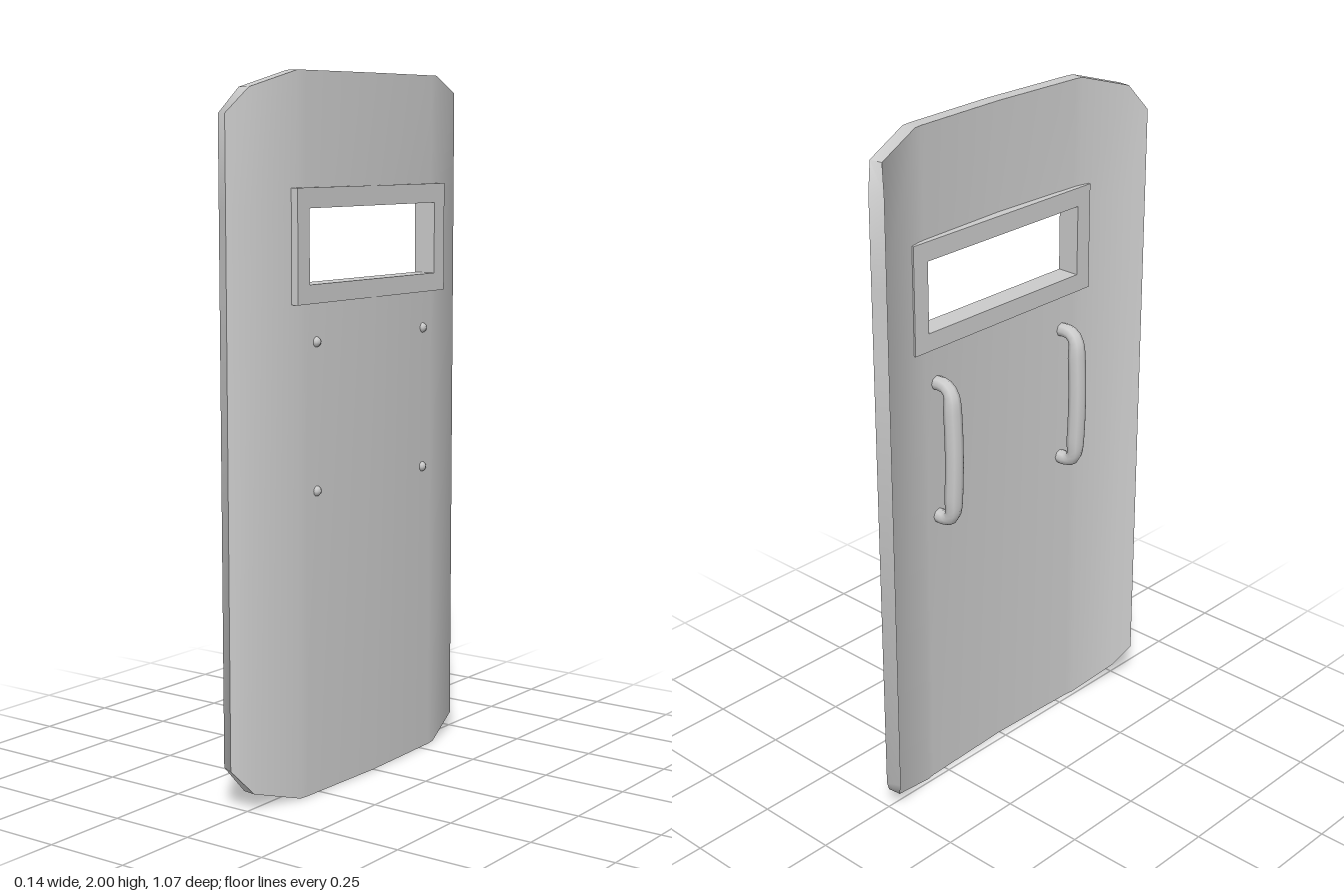
import * as THREE from 'three';
import { toCreasedNormals } from 'three/addons/utils/BufferGeometryUtils.js';

const material = new THREE.MeshStandardMaterial({ color: 0xcccccc });

// Half of the plate's section: outer x/z, inner x/z, bottom y (top mirrors it)
const half = [
  [0.066, 0, 0.026, 0, 0],
  [0.056, 0.30, 0.016, 0.30, 0],
  [0.052, 0.33, 0.012, 0.325, 0],
  [0.013, 0.485, -0.026, 0.48, 0.047],
  [-0.03, 0.533, -0.068, 0.515, 0.115],
];
const windowY = [1.43, 1.635];
const windowZ = 0.30;

function platePanel() {
  const mirrored = half.slice(1).reverse().map(([ox, oz, ix, iz, y]) => [ox, -oz, ix, -iz, y]);
  const columns = [...mirrored, ...half];
  const pos = [];
  const index = [];
  // each column has 4 outer then 4 inner points, bottom to top
  for (const [ox, oz, ix, iz, y] of columns) {
    const rows = [y, ...windowY, 2 - y];
    rows.forEach((r) => pos.push(ox, r, oz));
    rows.forEach((r) => pos.push(ix, r, iz));
  }
  const quad = (a, b, c, d) => index.push(a, b, c, a, c, d);
  const last = columns.length - 1;
  for (let i = 0; i < last; i++) {
    const a = i * 8, b = a + 8;
    const inWindow = Math.abs(columns[i][1]) <= windowZ && Math.abs(columns[i + 1][1]) <= windowZ;
    for (let r = 0; r < 3; r++) {
      if (r === 1 && inWindow) continue;
      quad(b + r, a + r, a + r + 1, b + r + 1); // outer face
      quad(a + 4 + r, b + 4 + r, b + 5 + r, a + 5 + r); // inner face
    }
    quad(a, b, b + 4, a + 4); // bottom rim
    quad(b + 3, a + 3, a + 7, b + 7); // top rim
  }
  // side rims
  const e = last * 8;
  for (let r = 0; r < 3; r++) {
    quad(r, r + 4, r + 5, r + 1);
    quad(e + r + 4, e + r, e + r + 1, e + r + 5);
  }
  const g = new THREE.BufferGeometry();
  g.setAttribute('position', new THREE.Float32BufferAttribute(pos, 3));
  g.setIndex(index);
  return toCreasedNormals(g, 0.75);
}

function rect(path, w, y0, y1) {
  path.moveTo(-w, y0);
  path.lineTo(w, y0);
  path.lineTo(w, y1);
  path.lineTo(-w, y1);
  path.closePath();
  return path;
}

function windowFrame() {
  const shape = rect(new THREE.Shape(), 0.352, 1.378, 1.69);
  shape.holes.push(rect(new THREE.Path(), windowZ, ...windowY));
  const g = new THREE.ExtrudeGeometry(shape, { depth: 0.068, bevelEnabled: false });
  return g.rotateY(Math.PI / 2);
}

// Bowed grip whose legs are thinner than its middle
function handleGrip() {
  const points = [
    [0.03, 1.268], [-0.015, 1.268], [-0.036, 1.25], [-0.042, 1.19], [-0.046, 1.065],
    [-0.042, 0.94], [-0.036, 0.88], [-0.015, 0.862], [0.03, 0.862],
  ];
  const path = new THREE.CatmullRomCurve3(points.map(([x, y]) => new THREE.Vector3(x, y, 0)));
  const steps = 32, sides = 8;
  const g = new THREE.TubeGeometry(path, steps, 0.026, sides, false);
  const p = g.attributes.position;
  const v = new THREE.Vector3();
  for (let i = 0; i <= steps; i++) {
    const t = i / steps;
    const centre = path.getPointAt(t);
    const k = 0.8 + 0.2 * THREE.MathUtils.smoothstep(Math.min(t, 1 - t), 0.1, 0.25);
    for (let j = 0; j <= sides; j++) {
      const n = i * (sides + 1) + j;
      v.fromBufferAttribute(p, n).sub(centre).multiplyScalar(k).add(centre);
      p.setXYZ(n, v.x, v.y, v.z);
    }
  }
  g.computeVertexNormals();
  return g;
}

export function createModel() {
  const model = new THREE.Group();
  model.name = 'shield';
  const add = (name, geometry, x = 0, y = 0, z = 0) => {
    const mesh = new THREE.Mesh(geometry, material);
    mesh.name = name;
    mesh.position.set(x, y, z);
    model.add(mesh);
  };

  add('plate', platePanel());
  add('windowFrame', windowFrame());

  // Two handles on the back, each held by two rivets through the plate
  const grip = handleGrip();
  const rivet = new THREE.SphereGeometry(0.015, 8, 6);
  for (const side of [-1, 1]) {
    const z = side * 0.257;
    add('handle', grip, 0, 0, z);
    for (const y of [0.86, 1.272]) add('rivet', rivet, 0.055, y, z);
  }
  return model;
}
